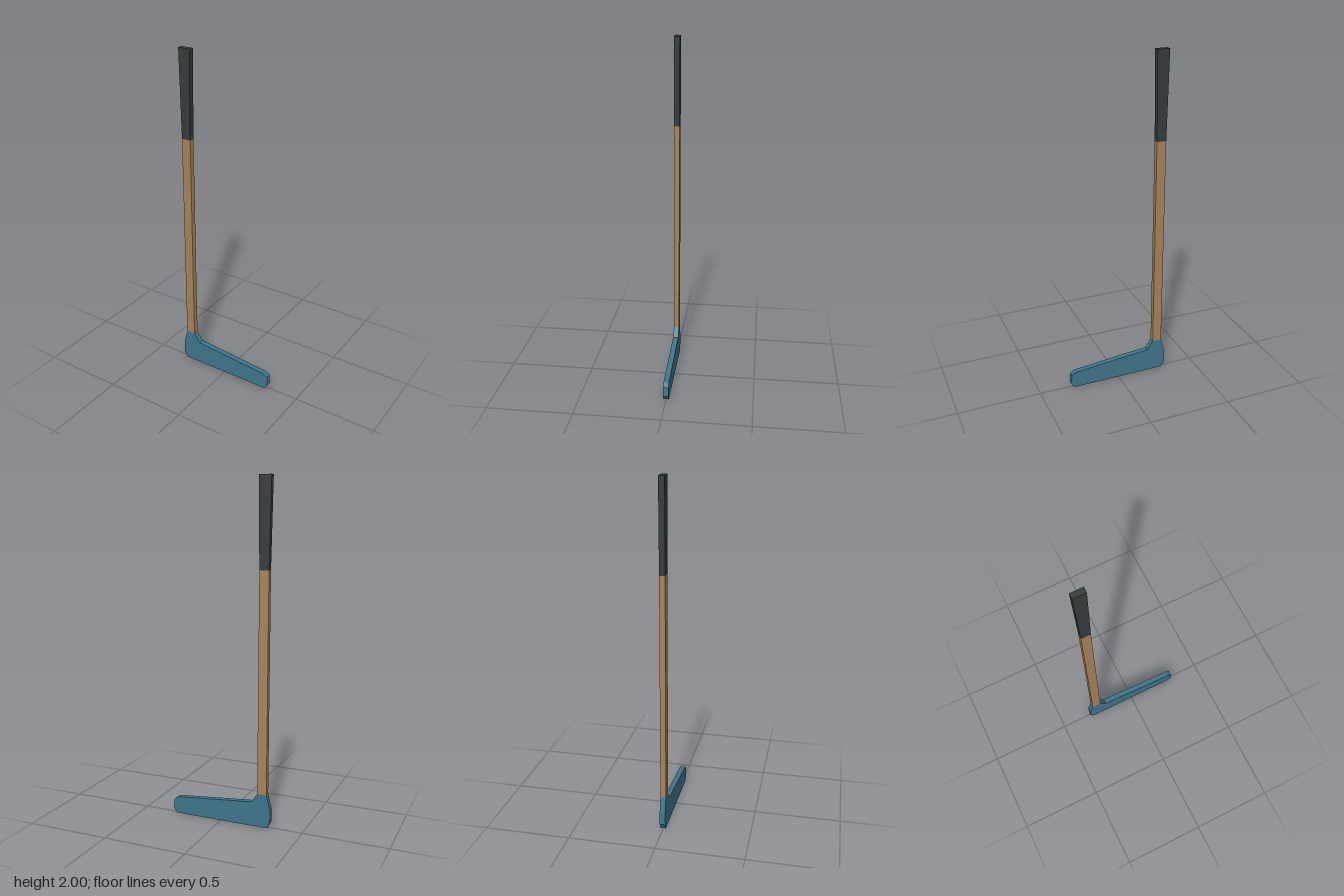
import * as THREE from 'three';

const DEPTH = 0.032;

// Flat plate with the given outline, centred on z = 0
function plate(name, outline, color) {
  const shape = new THREE.Shape(outline.map(([x, y]) => new THREE.Vector2(x, y)));
  const geometry = new THREE.ExtrudeGeometry(shape, { depth: DEPTH, bevelEnabled: false });
  geometry.translate(0, 0, -DEPTH / 2);
  const mesh = new THREE.Mesh(geometry, new THREE.MeshStandardMaterial({ color, flatShading: true }));
  mesh.name = name;
  return mesh;
}

export function createModel() {
  const group = new THREE.Group();
  group.name = 'hockeyStick';

  // Blade with chamfered heel and toe, rising to a neck under the shaft
  group.add(plate('blade', [
    [-0.29, 0], [0.288, 0], [0.309, 0.03], [0.304, 0.085], [0.28, 0.103],
    [-0.192, 0.147], [-0.23, 0.2], [-0.286, 0.2], [-0.309, 0.11], [-0.309, 0.035],
  ], 0x3f768c));

  // Straight wooden shaft
  group.add(plate('shaft', [
    [-0.286, 0.2], [-0.23, 0.2], [-0.23, 1.49], [-0.286, 1.49],
  ], 0xa9845a));

  // Grip, widening toward the top
  group.add(plate('grip', [
    [-0.286, 1.49], [-0.23, 1.49], [-0.222, 2], [-0.295, 2],
  ], 0x383b3d));

  return group;
}
